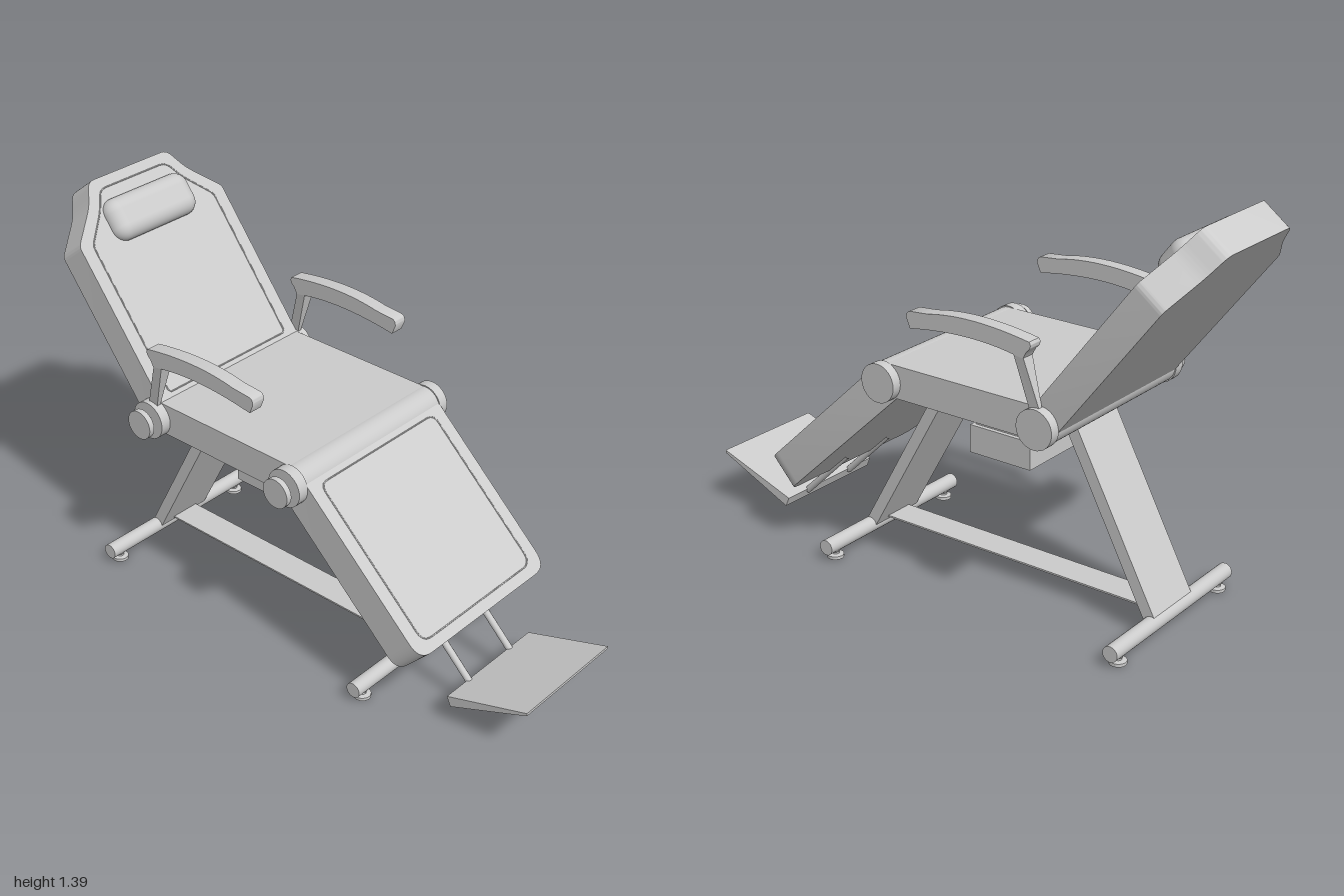
import * as THREE from 'three';
import { RoundedBoxGeometry } from 'three/addons/geometries/RoundedBoxGeometry.js';
import { toCreasedNormals } from 'three/addons/utils/BufferGeometryUtils.js';

const CX = 0.02; // middle of the upholstery across the width
const W = 0.66;
const grey = new THREE.MeshStandardMaterial({ color: 0xcccccc });

function add(parent, name, geometry, x = 0, y = 0, z = 0) {
  const mesh = new THREE.Mesh(geometry, grey);
  mesh.name = name;
  mesh.position.set(x, y, z);
  parent.add(mesh);
  return mesh;
}

// Cylinder lying along x, from x0 to x1
function rod(parent, name, x0, x1, r, y, z) {
  const g = new THREE.CylinderGeometry(r, r, x1 - x0, 32).rotateZ(Math.PI / 2);
  return add(parent, name, g, (x0 + x1) / 2, y, z);
}

// Side profile given as (-z, y), extruded across x and centred on x = 0
function sideExtrude(shape, width) {
  const g = new THREE.ExtrudeGeometry(shape, { depth: width, bevelEnabled: false, curveSegments: 12 });
  g.translate(0, 0, -width / 2).rotateY(Math.PI / 2);
  return toCreasedNormals(g, 0.6);
}

const polygon = (pts) => new THREE.Shape(pts.map(([a, b]) => new THREE.Vector2(a, b)));

// Closed outline with every corner rounded; corner = [x, y, radius]
function roundedOutline(corners) {
  const s = new THREE.Shape();
  corners.forEach(([x, y, r], i) => {
    const n = corners.length;
    const p = new THREE.Vector2(x, y);
    const toward = (q) => new THREE.Vector2(q[0], q[1]).sub(p).setLength(r).add(p);
    const a = toward(corners[(i + n - 1) % n]);
    const b = toward(corners[(i + 1) % n]);
    if (i === 0) s.moveTo(a.x, a.y);
    else s.lineTo(a.x, a.y);
    s.quadraticCurveTo(x, y, b.x, b.y);
  });
  s.closePath();
  return s;
}

// Tilted cushion with a fine piping line on its upper face
function cushion(parent, name, outline, seam, back, front, y, z, tilt) {
  const group = new THREE.Group();
  group.name = name;
  group.position.set(CX, y, z);
  group.rotation.x = tilt;
  const g = new THREE.ExtrudeGeometry(roundedOutline(outline), {
    depth: front - back, bevelEnabled: false, curveSegments: 10,
  });
  add(group, name + 'Pad', toCreasedNormals(g.translate(0, 0, back), 0.5));
  const path = new THREE.CurvePath();
  const pts = roundedOutline(seam).getPoints(6).map((p) => new THREE.Vector3(p.x, p.y, front));
  for (let i = 0; i < pts.length - 1; i++) {
    if (pts[i].distanceTo(pts[i + 1]) > 1e-5) path.add(new THREE.LineCurve3(pts[i], pts[i + 1]));
  }
  add(group, name + 'Piping', new THREE.TubeGeometry(path, 160, 0.0025, 6));
  parent.add(group);
  return group;
}

export function createModel() {
  const model = new THREE.Group();
  model.name = 'recliningChair';

  // Seat
  add(model, 'seat', new THREE.BoxGeometry(W, 0.112, 0.61), CX, 0.73, -0.165);

  // Backrest with tapered top
  const backrest = cushion(model, 'backrest',
    [[-0.33, 0, 0.004], [0.33, 0, 0.004], [0.33, 0.605, 0.015], [0.222, 0.712, 0.03], [0.178, 0.79, 0.025],
      [-0.178, 0.79, 0.025], [-0.222, 0.712, 0.03], [-0.33, 0.605, 0.015]],
    [[-0.28, 0.05, 0.01], [0.28, 0.05, 0.01], [0.28, 0.59, 0.015], [0.19, 0.685, 0.03], [0.15, 0.752, 0.025],
      [-0.15, 0.752, 0.025], [-0.19, 0.685, 0.03], [-0.28, 0.59, 0.015]],
    -0.053, 0.058, 0.725, -0.47, -0.656);
  add(backrest, 'headPillow', new RoundedBoxGeometry(0.366, 0.15, 0.1, 6, 0.048), 0, 0.635, 0.056);

  // Leg rest with rounded lower corners
  cushion(model, 'legRest',
    [[-0.33, -0.675, 0.06], [0.33, -0.675, 0.06], [0.33, 0, 0.004], [-0.33, 0, 0.004]],
    [[-0.28, -0.635, 0.04], [0.28, -0.635, 0.04], [0.28, -0.05, 0.03], [-0.28, -0.05, 0.03]],
    -0.071, 0.055, 0.725, 0.14, -0.817);

  // Hinges with end discs and tightening knobs on one side
  for (const [name, z] of [['front', 0.14], ['rear', -0.47]]) {
    rod(model, name + 'HingeTube', -0.31, 0.35, 0.062, 0.725, z);
    rod(model, name + 'HingeDiscLeft', 0.348, 0.385, 0.066, 0.725, z);
    rod(model, name + 'HingeDiscRight', -0.347, -0.308, 0.066, 0.725, z);
    rod(model, name + 'KnobStem', -0.375, -0.34, 0.021, 0.725, z);
    rod(model, name + 'Knob', -0.388, -0.368, 0.051, 0.725, z);
  }

  // Armrests: curved pad on a post that narrows downwards
  const armShape = new THREE.Shape();
  armShape.moveTo(0, 0.942);
  armShape.lineTo(-0.014, 0.975);
  armShape.quadraticCurveTo(-0.014, 0.995, 0, 0.998);
  armShape.lineTo(0.07, 1.004);
  armShape.quadraticCurveTo(0.233, 1.038, 0.452, 1.0);
  armShape.quadraticCurveTo(0.466, 0.985, 0.442, 0.966);
  armShape.lineTo(0.43, 0.943);
  armShape.lineTo(0.394, 0.949);
  armShape.quadraticCurveTo(0.22, 0.98, 0, 0.942);
  const postShape = polygon([[0.394, 0.95], [0.445, 0.77], [0.484, 0.77], [0.43, 0.945]]);
  for (const side of [1, -1]) {
    const arm = new THREE.Group();
    arm.name = side > 0 ? 'leftArmrest' : 'rightArmrest';
    arm.position.x = CX + side * 0.342;
    add(arm, 'armPad', sideExtrude(armShape, 0.05));
    const post = sideExtrude(postShape, 0.046);
    const p = post.attributes.position;
    for (let i = 0; i < p.count; i++) if (p.getY(i) < 0.8) p.setX(i, p.getX(i) * 0.25);
    post.computeVertexNormals();
    add(arm, 'armPost', post);
    model.add(arm);
  }

  // Drive unit under the seat
  add(model, 'driveUpper', new THREE.BoxGeometry(0.27, 0.1, 0.24), CX, 0.634, -0.172);
  add(model, 'driveNeck', new THREE.BoxGeometry(0.24, 0.04, 0.215), CX, 0.57, -0.172);
  add(model, 'driveLower', new THREE.BoxGeometry(0.27, 0.097, 0.24), CX, 0.508, -0.172);

  // Slanted leg panels, floor bars and levelling feet
  for (const [name, top, foot] of [['front', 0.05, 0.41], ['rear', -0.402, -0.745]]) {
    const h = 0.024;
    const leg = polygon([[-foot - h, 0.05], [-foot + h, 0.05], [-top + h, 0.69], [-top - h, 0.69]]);
    add(model, name + 'Leg', sideExtrude(leg, 0.22), CX);
    rod(model, name + 'FloorBar', -0.323, 0.36, 0.027, 0.05, foot);
    for (const x of [-0.275, 0.313]) {
      const profile = [[0, 0], [0.029, 0], [0.029, 0.011], [0.013, 0.014], [0.013, 0.02], [0.02, 0.03], [0, 0.03]];
      const g = new THREE.LatheGeometry(profile.map(([r, y]) => new THREE.Vector2(r, y)), 24);
      add(model, name + 'Foot', toCreasedNormals(g, 0.5), x, 0, foot);
    }
  }
  add(model, 'floorStrip', new THREE.BoxGeometry(0.11, 0.006, 1.155), CX, 0.07, -0.1675);

  // Footplate on two rods
  const plate = polygon([[-1, 0.2], [-0.71, 0.073], [-0.695, 0.107], [-1, 0.21]]);
  add(model, 'footPlate', sideExtrude(plate, 0.436), CX);
  for (const x of [-0.087, 0.13]) {
    const line = new THREE.LineCurve3(new THREE.Vector3(x, 0.098, 0.703), new THREE.Vector3(x, 0.285, 0.51));
    add(model, 'footPlateRod', new THREE.TubeGeometry(line, 1, 0.012, 12));
  }

  return model;
}
